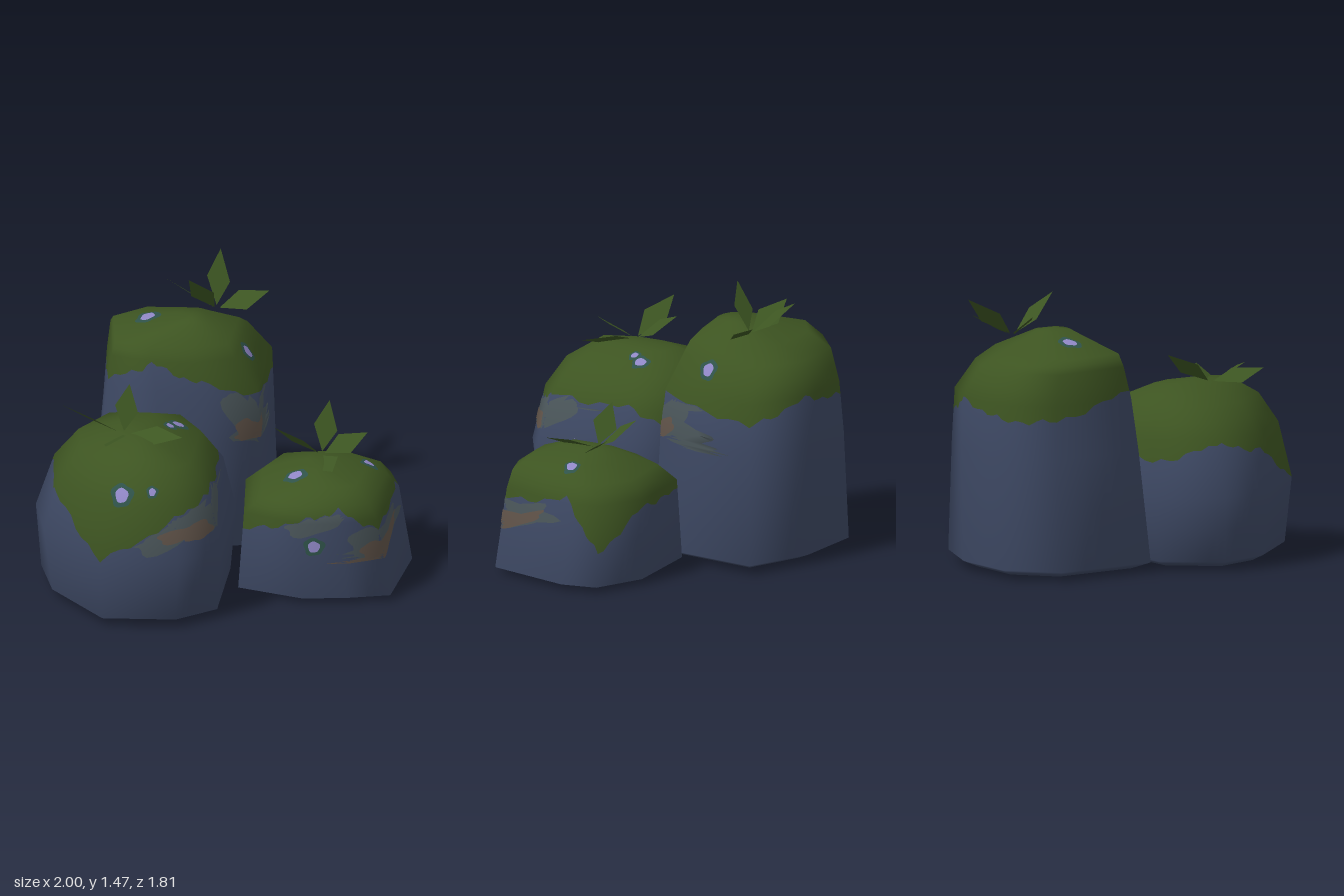
import * as THREE from 'three';

const paint = (name, color, side = THREE.FrontSide) => {
  const m = new THREE.MeshStandardMaterial({ color, side });
  m.name = name;
  return m;
};

function makeMesh(name, mat, pos, nor, idx) {
  const mesh = new THREE.Mesh(makeGeometry(pos, nor, idx), mat);
  mesh.name = name;
  return mesh;
}

function makeGeometry(pos, nor, idx) {
  const g = new THREE.BufferGeometry();
  g.setAttribute('position', new THREE.Float32BufferAttribute(pos, 3));
  if (nor) g.setAttribute('normal', new THREE.Float32BufferAttribute(nor, 3));
  g.setIndex(idx);
  if (!nor) g.computeVertexNormals();
  return g;
}

// Quads between rows of points, closed around
function gridIndex(cols, rows) {
  const idx = [];
  for (let j = 0; j < rows - 1; j++) for (let i = 0; i < cols; i++) {
    const a = j * cols + i, b = j * cols + (i + 1) % cols;
    idx.push(a, b, b + cols, a, b + cols, a + cols);
  }
  return idx;
}

// Add an inset base ring and close both ends at the middle of the nearest box
function closeEnds(sides) {
  const middle = ([, x0, x1, z0, z1], y) => {
    const x = (x0 + x1) / 2, z = (z0 + z1) / 2;
    return [y, x, x, z, z];
  };
  const [y, x0, x1, z0, z1] = sides[0], top = sides.at(-1), inset = 0.08;
  const base = [y * 0.3, x0 + inset, x1 - inset, z0 + inset, z1 - inset];
  return [middle(base, 0), base, ...sides, middle(top, top[0] + 0.01)];
}

// Fit an outline to a box, first pulling its corners in towards an ellipse
function fitOutline(outline, [, x0, x1, z0, z1], round) {
  const span = (pts, k) => [Math.min(...pts.map(p => p[k])), Math.max(...pts.map(p => p[k]))];
  const remap = (pts, xr, zr) => {
    const sx = span(pts, 0), sz = span(pts, 1);
    return pts.map(([x, z]) => [THREE.MathUtils.mapLinear(x, ...sx, ...xr), THREE.MathUtils.mapLinear(z, ...sz, ...zr)]);
  };
  const rounded = remap(outline, [-1, 1], [-1, 1]).map(([u, v]) => {
    const s = Math.hypot(u, v) ** -round;
    return [u * s, v * s];
  });
  return remap(rounded, [x0, x1], [z0, z1]);
}

// Boulder: an outline fitted to a box [y, x0, x1, z0, z1] at each level, rounder
// towards the top. The moss line has one height per outline corner.
function boulder(name, outline, sides, [roundLow, roundHigh], moss, mats) {
  const n = outline.length, levels = closeEnds(sides), last = levels.length - 1;
  const pts = [];
  for (const level of levels) {
    const round = THREE.MathUtils.lerp(roundLow, roundHigh, level[0] / levels[last][0]);
    for (const [x, z] of fitOutline(outline, level, round)) pts.push(x, level[0], z);
  }
  const { position: P, normal: N } = makeGeometry(pts, null, gridIndex(n, levels.length)).attributes;
  for (let i = 0; i < n; i++) {
    N.setXYZ(i, 0, -1, 0);
    N.setXYZ(last * n + i, 0, 1, 0);
  }
  // Blend a corner attribute at column u and level t
  const sample = (attr, u, t) => {
    const i = Math.floor(u), j = Math.min(Math.floor(t), last - 1);
    const at = (c, r) => new THREE.Vector3().fromBufferAttribute(attr, r * n + c % n);
    return at(i, j).lerp(at(i + 1, j), u - i).lerp(at(i, j + 1).lerp(at(i + 1, j + 1), u - i), t - j);
  };
  const levelAt = y => {
    let j = 0;
    while (j < last - 1 && levels[j + 1][0] < y) j++;
    return j + (y - levels[j][0]) / (levels[j + 1][0] - levels[j][0]);
  };
  const sub = 8, cols = n * sub, rows = last * 2 + 1;
  const build = (part, mat, clamp) => {
    const pos = [], nor = [];
    for (let k = 0; k < rows; k++) for (let c = 0; c < cols; c++) {
      const u = c / sub, i = Math.floor(u);
      const line = THREE.MathUtils.lerp(moss[i], moss[(i + 1) % n], u - i)
        + 0.012 * Math.sin(c * 1.9) + 0.01 * Math.sin(c * 0.83);
      const t = clamp(k / 2, levelAt(line));
      pos.push(...sample(P, u, t));
      nor.push(...sample(N, u, t).normalize());
    }
    return makeMesh(part, mat, pos, nor, gridIndex(cols, rows));
  };
  const rock = new THREE.Group();
  rock.name = name;
  rock.add(build('stone', mats.stone, Math.min), build('mossCap', mats.moss, Math.max));
  return rock;
}

// Wavy oval in a flat plane
function oval(a, b, long, wide, degrees, wave) {
  const n = 28, tilt = THREE.MathUtils.degToRad(degrees);
  return Array.from({ length: n }, (_, i) => {
    const t = i / n * Math.PI * 2, s = 1 + wave * (Math.sin(t * 5) + Math.sin(t * 3 + 1));
    const p = long * s * Math.cos(t), q = wide * s * Math.sin(t);
    return [a + p * Math.cos(tilt) - q * Math.sin(tilt), b + p * Math.sin(tilt) + q * Math.cos(tilt)];
  });
}

// Rays towards the model: front takes (x, y), right takes (z, y), top takes (x, z)
const AXES = {
  front: [(a, b) => new THREE.Vector3(a, b, 5), new THREE.Vector3(0, 0, -1)],
  right: [(a, b) => new THREE.Vector3(5, b, a), new THREE.Vector3(-1, 0, 0)],
  top: [(a, b) => new THREE.Vector3(a, 5, b), new THREE.Vector3(0, -1, 0)],
};

// Thin skin laid on the targets by projecting an outline along one axis
function skin(name, mat, targets, axis, outline, lift) {
  const [origin, dir] = AXES[axis], n = outline.length, rings = 7;
  const mean = k => outline.reduce((s, p) => s + p[k], 0) / n;
  const ca = mean(0), cb = mean(1), points = [], nor = [];
  for (let r = 0; r <= rings; r++) for (const [a, b] of outline) {
    const from = origin(ca + (a - ca) * r / rings, cb + (b - cb) * r / rings);
    const hit = new THREE.Raycaster(from, dir).intersectObjects(targets, false)[0];
    const up = hit ? hit.normal.clone().normalize() : new THREE.Vector3();
    points.push(hit ? hit.point.clone().addScaledVector(up, lift) : null);
    nor.push(...up);
  }
  const all = gridIndex(n, rings + 1), idx = [];
  for (let i = 0; i < all.length; i += 3) {
    const [a, b, c] = all.slice(i, i + 3);
    if (!(points[a] && points[b] && points[c])) continue;
    const face = points[b].clone().sub(points[a]).cross(points[c].clone().sub(points[a]));
    if (face.dot(dir) < 0) idx.push(a, b, c); else idx.push(a, c, b);
  }
  return makeMesh(name, mat, points.flatMap(p => (p ? [...p] : [0, 0, 0])), nor, idx);
}

// Grey or brown stain on bare stone only
function addStain(rock, mat, lift, axis, ...shape) {
  rock.add(skin('stain', mat, [rock.getObjectByName('stone')], axis, oval(...shape, 0.1), lift));
}

// Round lilac spot with a dark rim
function addSpot(rock, mats, axis, a, b, r) {
  const surface = [rock.getObjectByName('stone'), rock.getObjectByName('mossCap')];
  rock.add(
    skin('spotRim', mats.rim, surface, axis, oval(a, b, r * 1.75, r * 1.6, 0, 0.07), 0.004),
    skin('spot', mats.spot, surface, axis, oval(a, b, r, r, 0, 0.04), 0.007));
}

// Kite-shaped leaves spreading from one root, each rolled a little about its length
function addSprout(rock, mats, root, ...tips) {
  const base = new THREE.Vector3(...root);
  const sprout = new THREE.Group();
  sprout.name = 'sprout';
  for (const t of tips) {
    const tip = new THREE.Vector3(...t), along = tip.clone().sub(base);
    const side = along.clone().cross(new THREE.Vector3(0, 1, 0)).setLength(0.068);
    side.applyAxisAngle(along.clone().normalize(), 0.5);
    const start = base.clone().addScaledVector(along, 0.06);
    const mid = base.clone().addScaledVector(along, 0.5);
    const pos = [start, mid.clone().add(side), tip, mid.clone().sub(side)].flatMap(v => [...v]);
    sprout.add(makeMesh('leaf', mats.leaf, pos, null, [0, 1, 2, 0, 2, 3]));
  }
  rock.add(sprout);
}

export function createModel() {
  const mats = {
    stone: paint('slate blue stone', 0x3d4863),
    moss: paint('moss green', 0x3d5421),
    leaf: paint('leaf green', 0x3d5622, THREE.DoubleSide),
    stain: paint('grey stain', 0x495458),
    rust: paint('brown stain', 0x5f5248),
    rim: paint('teal rim', 0x2f5249),
    spot: paint('lilac spot', 0x9087c6),
  };
  const grey = [mats.stain, 0.004], brown = [mats.rust, 0.007];

  const front = boulder('frontBoulder',
    [[-1, .21], [-.92, .53], [-.62, .9], [-.2, .9], [.03, .75], [.08, .2], [-.1, -.08], [-.75, -.08]],
    [[.05, -.97, .04, -.06, .87], [.4, -1, .07, -.1, .91], [.7, -.9, 0, -.06, .85],
      [.86, -.77, -.12, .01, .75], [.945, -.55, -.33, .18, .62]], [0, .5],
    [.67, .62, .4, .63, .71, .72, .6, .58], mats);
  addStain(front, ...grey, 'front', -.25, .57, .24, .09, 24);
  addStain(front, ...brown, 'front', -.22, .54, .1, .035, 10);
  addStain(front, ...grey, 'right', .66, .62, .2, .06, -30);
  addStain(front, ...brown, 'right', .79, .54, .06, .04, -40);
  addSpot(front, mats, 'front', -.51, .75, .034);
  addSpot(front, mats, 'front', -.35, .765, .018);
  addSpot(front, mats, 'top', -.24, .25, .03);
  addSpot(front, mats, 'top', -.28, .31, .02);
  addSprout(front, mats, [-.52, .94, .45], [-.87, 1.1, .42], [-.5, 1.11, .18], [-.2, .99, .59], [-.6, 1, .74]);

  const tall = boulder('tallBoulder',
    [[-.74, -.11], [-.4, -.07], [-.15, -.05], [.21, -.1], [.25, -.73], [-.1, -.89], [-.48, -.91], [-.73, -.7]],
    [[.05, -.74, .25, -.9, -.05], [.65, -.68, .23, -.89, -.05], [.93, -.66, .22, -.87, -.07],
      [1.1, -.64, .09, -.81, -.11], [1.17, -.62, .05, -.67, -.15], [1.265, -.28, -.12, -.45, -.27]], [0, .6],
    [.97, 1.09, 1, .9, .81, .92, .85, .85], mats);
  addStain(tall, ...grey, 'front', .1, .8, .19, .08, -60);
  addStain(tall, ...brown, 'front', .11, .72, .06, .06, 0);
  addStain(tall, ...grey, 'right', -.2, .78, .14, .07, -55);
  addStain(tall, ...grey, 'right', -.32, .86, .12, .025, -10);
  addStain(tall, ...brown, 'right', -.16, .72, .07, .04, -45);
  addSpot(tall, mats, 'top', -.43, -.42, .038);
  addSpot(tall, mats, 'right', -.38, 1.05, .03);
  addSprout(tall, mats, [-.07, 1.23, -.53], [-.06, 1.45, -.82], [.21, 1.31, -.6], [-.21, 1.47, -.37], [-.34, 1.37, -.6]);

  const low = boulder('lowBoulder',
    [[.13, -.04], [.09, .42], [.45, .53], [.68, .51], [.92, .48], [1, 0], [.97, -.2], [.7, -.32], [.24, -.3]],
    [[.03, .09, 1, -.32, .53], [.46, .11, .93, -.3, .515], [.55, .2, .87, -.22, .5],
      [.62, .34, .77, -.08, .4], [.66, .45, .58, .03, .28]], [.2, .6],
    [.42, .36, .47, .53, .4, .48, .2, .42, .4], mats);
  addStain(low, ...grey, 'front', .5, .46, .18, .06, 14);
  addStain(low, ...grey, 'front', .8, .34, .12, .08, 0);
  addStain(low, ...brown, 'front', .82, .3, .08, .045, 15);
  addStain(low, ...grey, 'right', .33, .33, .2, .055, -22);
  addStain(low, ...brown, 'right', .32, .31, .18, .026, -24);
  addSpot(low, mats, 'top', .39, .28, .036);
  addSpot(low, mats, 'top', .77, .07, .026);
  addSpot(low, mats, 'front', .5, .33, .032);
  addSprout(low, mats, [.52, .66, .06], [.55, .86, -.2], [.76, .74, -.06], [.59, .69, .34], [.27, .84, .12]);

  const model = new THREE.Group();
  model.name = 'mossyBoulders';
  model.add(front, tall, low);
  return model;
}
